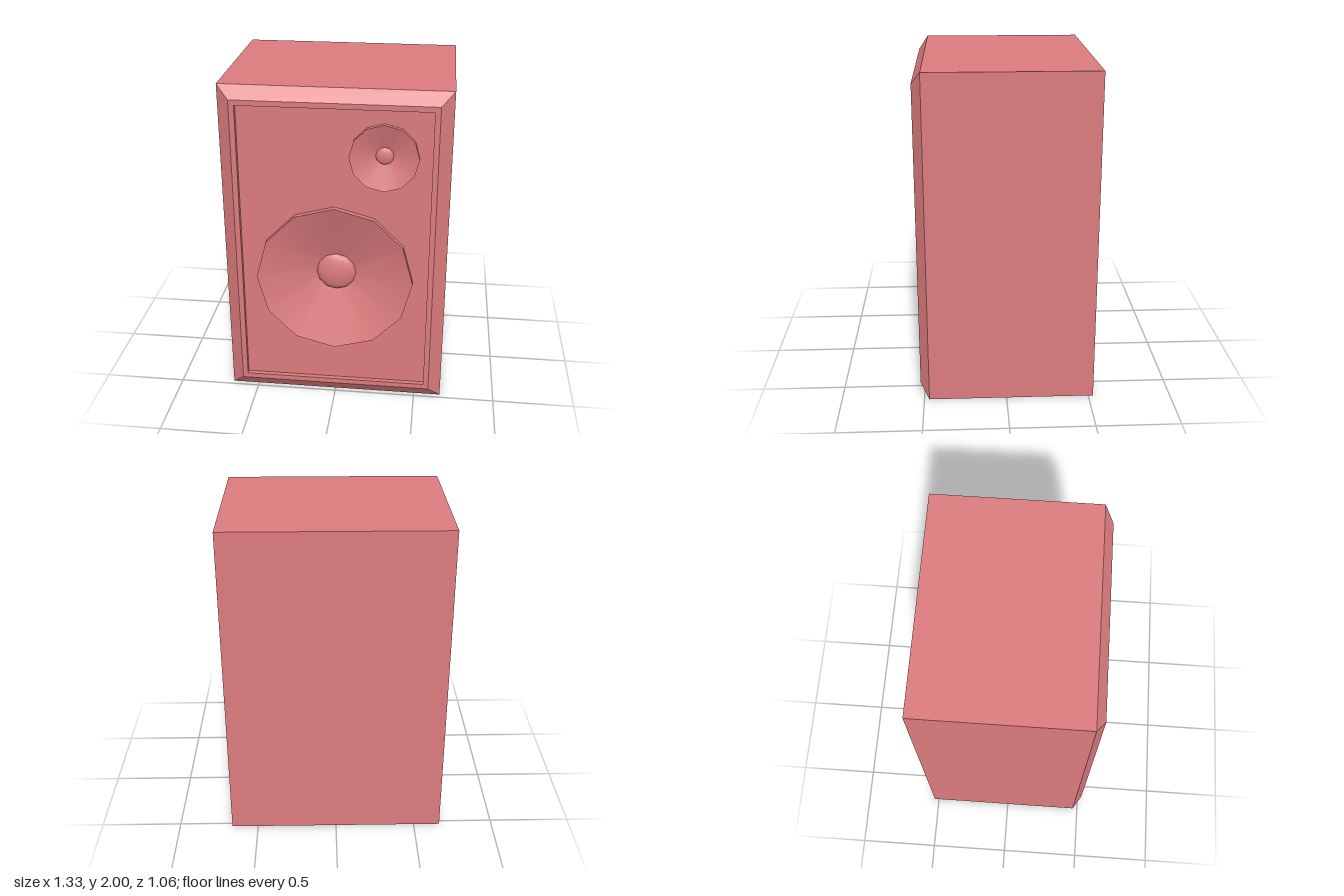
import * as THREE from 'three';

const W = 0.665, BACK = -0.53, PANEL_Z = 0.495, SIDES = 12;
const DRIVERS = [
  { name: 'woofer', x: 0, y: 0.82, r: 0.47, rim: 0.53, capR: 0.12, depth: 0.12, bulge: 0.04 },
  { name: 'tweeter', x: 0.285, y: 1.61, r: 0.2, rim: 0.523, capR: 0.052, depth: 0.05, bulge: 0.02 },
];

// Rectangular outline of the cabinet, inset by i, at depth z
function ring(i, z) {
  const x = W - i, b = i, t = 2 - i;
  return [[-x, b, z], [x, b, z], [x, t, z], [-x, t, z]];
}

// Flat quads joining successive rectangles, with a cap on the first
function shell(rings) {
  const pos = [];
  const quad = (a, b, c, d) => pos.push(...a, ...b, ...c, ...a, ...c, ...d);
  const [p, q, r, s] = rings[0];
  quad(q, p, s, r);
  for (let k = 0; k < rings.length - 1; k++) {
    const A = rings[k], B = rings[k + 1];
    for (let i = 0; i < 4; i++) {
      const j = (i + 1) % 4;
      quad(A[i], A[j], B[j], B[i]);
    }
  }
  const g = new THREE.BufferGeometry();
  g.setAttribute('position', new THREE.Float32BufferAttribute(pos, 3));
  g.computeVertexNormals();
  return g;
}

// Lathe turned so that its axis points forward
function turned(points) {
  const g = new THREE.LatheGeometry(points.map(([r, z]) => new THREE.Vector2(r, z)), SIDES);
  return g.rotateX(Math.PI / 2);
}

export function createModel() {
  const group = new THREE.Group();
  const red = new THREE.MeshStandardMaterial({ color: 0xdb7b7d });
  const redFlat = red.clone();
  redFlat.flatShading = true;
  const add = (parent, name, geo, mat) => {
    const m = new THREE.Mesh(geo, mat);
    m.name = name;
    parent.add(m);
    return m;
  };

  // Cabinet box, bevelled front edge, narrow lip and step down to the baffle
  add(group, 'cabinet', shell([
    ring(0, BACK), ring(0, 0.47), ring(0.075, 0.524), ring(0.107, 0.524), ring(0.107, PANEL_Z),
  ]), redFlat);

  // Baffle with an opening for each driver
  const baffle = new THREE.Shape(ring(0.107, 0).map(([x, y]) => new THREE.Vector2(x, y)));
  for (const d of DRIVERS) {
    const hole = [];
    for (let i = 0; i < SIDES; i++) {
      const a = (i / SIDES) * Math.PI * 2;
      hole.push(new THREE.Vector2(d.x + d.r * Math.sin(a), d.y + d.r * Math.cos(a)));
    }
    baffle.holes.push(new THREE.Path(hole));
  }
  add(group, 'baffle', new THREE.ShapeGeometry(baffle), redFlat).position.z = PANEL_Z;

  // Drivers: raised rim, sunken cone and domed dust cap
  for (const d of DRIVERS) {
    const driver = new THREE.Group();
    driver.name = d.name;
    driver.position.set(d.x, d.y, 0);
    const base = d.rim - d.depth;
    add(driver, d.name + 'Rim', turned([[d.r, PANEL_Z], [d.r, d.rim]]), redFlat);
    add(driver, d.name + 'Cone', turned([[d.r, d.rim], [d.capR, base]]), red);
    const dome = [];
    for (let i = 0; i <= 4; i++) {
      const a = (i / 4) * Math.PI / 2;
      dome.push([i === 4 ? 0 : d.capR * Math.cos(a), base + d.bulge * Math.sin(a)]);
    }
    add(driver, d.name + 'DustCap', turned(dome), red);
    group.add(driver);
  }
  return group;
}
